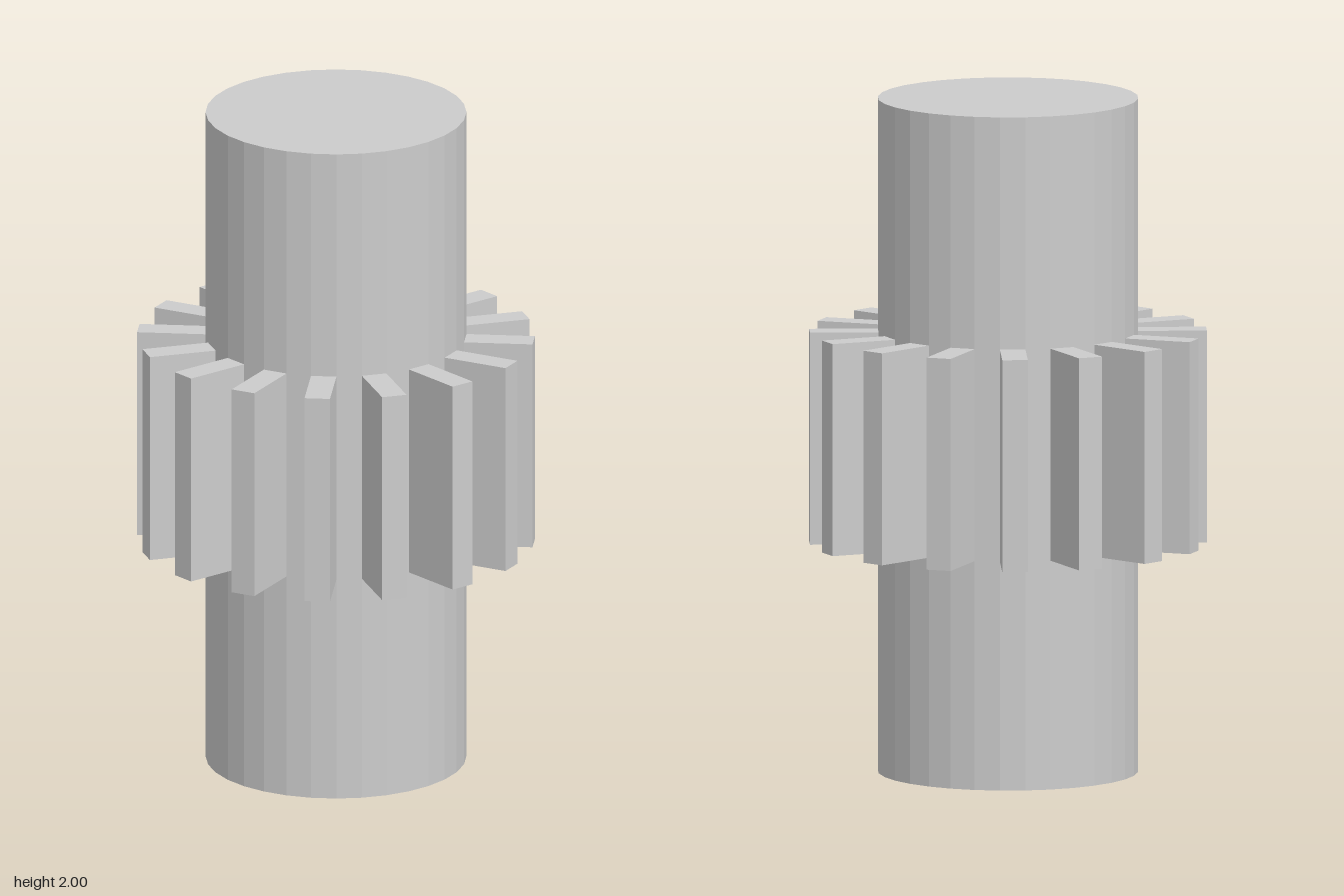
import * as THREE from 'three';

const SIDES = 32;
const RADIUS = 0.383;
const TEETH = SIDES / 2;
const TOOTH_BOTTOM = 0.68, TOOTH_TOP = 1.31;
const TOOTH_OUTER = 0.583;

export function createModel() {
  const model = new THREE.Group();
  model.name = 'pinionGear';

  const steel = new THREE.MeshStandardMaterial({ color: 0xcccccc });
  steel.name = 'light grey steel';

  // Faceted shaft standing on the ground
  const shaftGeometry = new THREE.CylinderGeometry(RADIUS, RADIUS, 2, SIDES).toNonIndexed();
  shaftGeometry.computeVertexNormals();
  const shaft = new THREE.Mesh(shaftGeometry, steel);
  shaft.name = 'shaft';
  shaft.position.y = 1;
  model.add(shaft);

  // One straight tooth as wide as a shaft facet, rooted on that facet
  const step = Math.PI / SIDES;
  const width = 2 * RADIUS * Math.sin(step);
  const root = RADIUS * Math.cos(step) - 0.002;
  const toothGeometry = new THREE.BoxGeometry(width, TOOTH_TOP - TOOTH_BOTTOM, TOOTH_OUTER - root);
  toothGeometry.translate(0, (TOOTH_TOP + TOOTH_BOTTOM) / 2, (TOOTH_OUTER + root) / 2);

  // Ring of teeth on every second facet
  const ring = new THREE.Group();
  ring.name = 'toothRing';
  for (let i = 0; i < TEETH; i++) {
    const tooth = new THREE.Mesh(toothGeometry, steel);
    tooth.name = `tooth${i + 1}`;
    tooth.rotation.y = (i * 2 * Math.PI) / TEETH - step;
    ring.add(tooth);
  }
  model.add(ring);

  return model;
}
